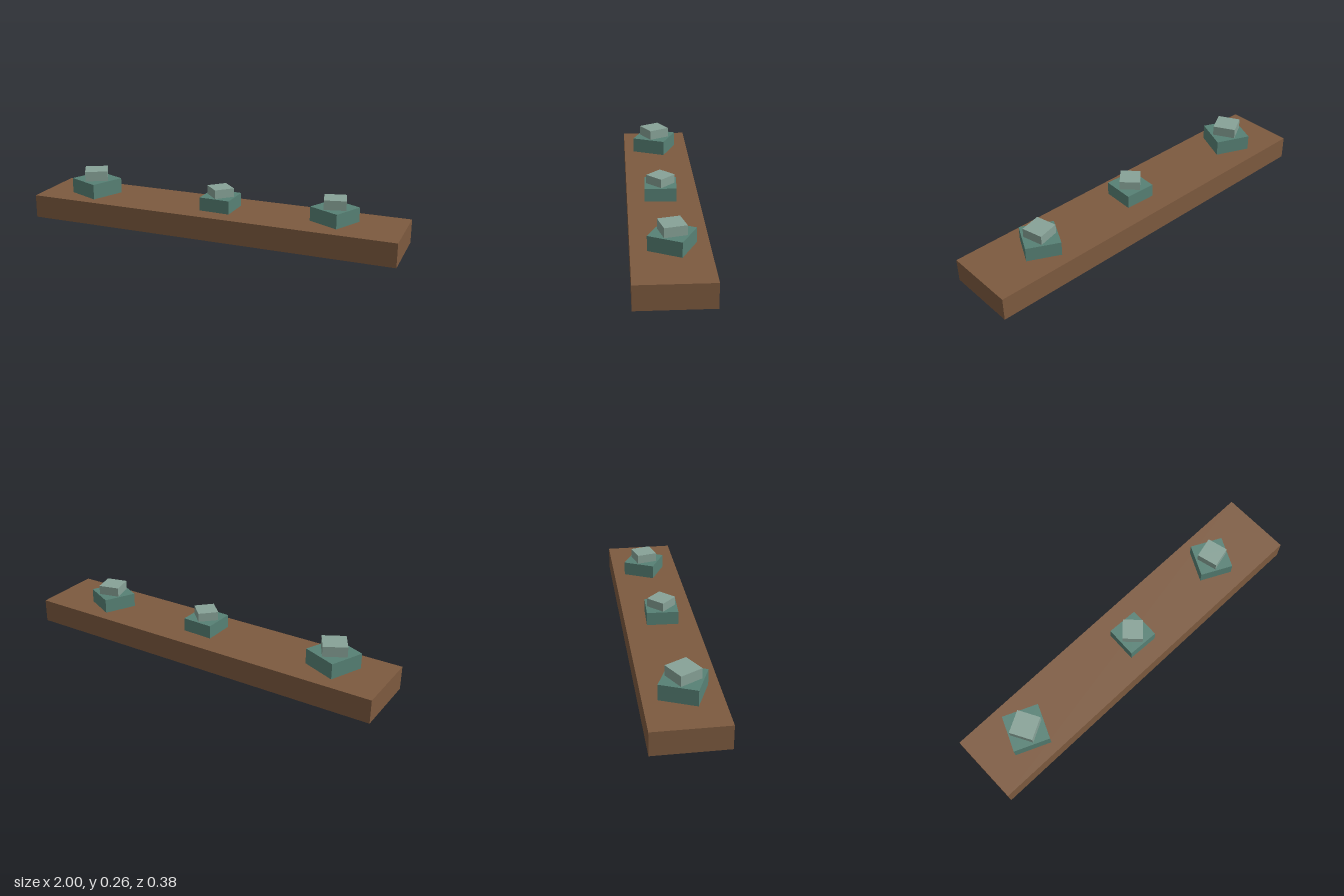
import * as THREE from 'three';

const wood = new THREE.MeshStandardMaterial({ color: 0x7d5a3f, side: THREE.DoubleSide });
wood.name = 'brown soil';
const darkGreen = new THREE.MeshStandardMaterial({ color: 0x578175 });
darkGreen.name = 'dark green';
const paleGreen = new THREE.MeshStandardMaterial({ color: 0x87a297 });
paleGreen.name = 'pale green';

// Four-sided upright prism with hard edges, standing on y = bottom
function prism(name, radius, bottom, top, turn, material) {
  const geometry = new THREE.CylinderGeometry(radius, radius, top - bottom, 4).toNonIndexed();
  geometry.computeVertexNormals();
  const mesh = new THREE.Mesh(geometry, material);
  mesh.name = name;
  mesh.position.y = (bottom + top) / 2;
  mesh.rotation.y = turn;
  return mesh;
}

export function createModel() {
  const model = new THREE.Group();
  model.name = 'plantedBed';
  const bedTop = 0.125;

  // Bed: thin box with an open underside (the bottom face is left out)
  const bedGeometry = new THREE.BoxGeometry(2, bedTop, 0.375);
  const index = Array.from(bedGeometry.index.array);
  index.splice(18, 6);
  bedGeometry.setIndex(index);
  bedGeometry.clearGroups();
  const bed = new THREE.Mesh(bedGeometry, wood);
  bed.name = 'bed';
  bed.position.y = bedTop / 2;
  model.add(bed);

  // Plants: a wide lower block with a smaller, twisted block on top
  const plants = [
    { x: -0.711, z: 0.0095, size: 1, lowerTurn: 0.38, upperTurn: -0.285 },
    { x: 0.032, z: 0.011, size: 0.866, lowerTurn: 0.743, upperTurn: 0 },
    { x: 0.643, z: -0.009, size: 0.92, lowerTurn: 0.322, upperTurn: -0.543 },
  ];
  for (const p of plants) {
    const plant = new THREE.Group();
    plant.name = 'plant';
    plant.position.set(p.x, 0, p.z);
    const middle = bedTop + 0.083 * p.size;
    const top = middle + 0.0535 * p.size;
    // The lower block starts just above the bed so the two surfaces never coincide
    plant.add(prism('lowerLeaves', 0.135 * p.size, bedTop + 0.001, middle, p.lowerTurn, darkGreen));
    plant.add(prism('upperLeaves', 0.0864 * p.size, middle, top, p.upperTurn, paleGreen));
    model.add(plant);
  }
  return model;
}
